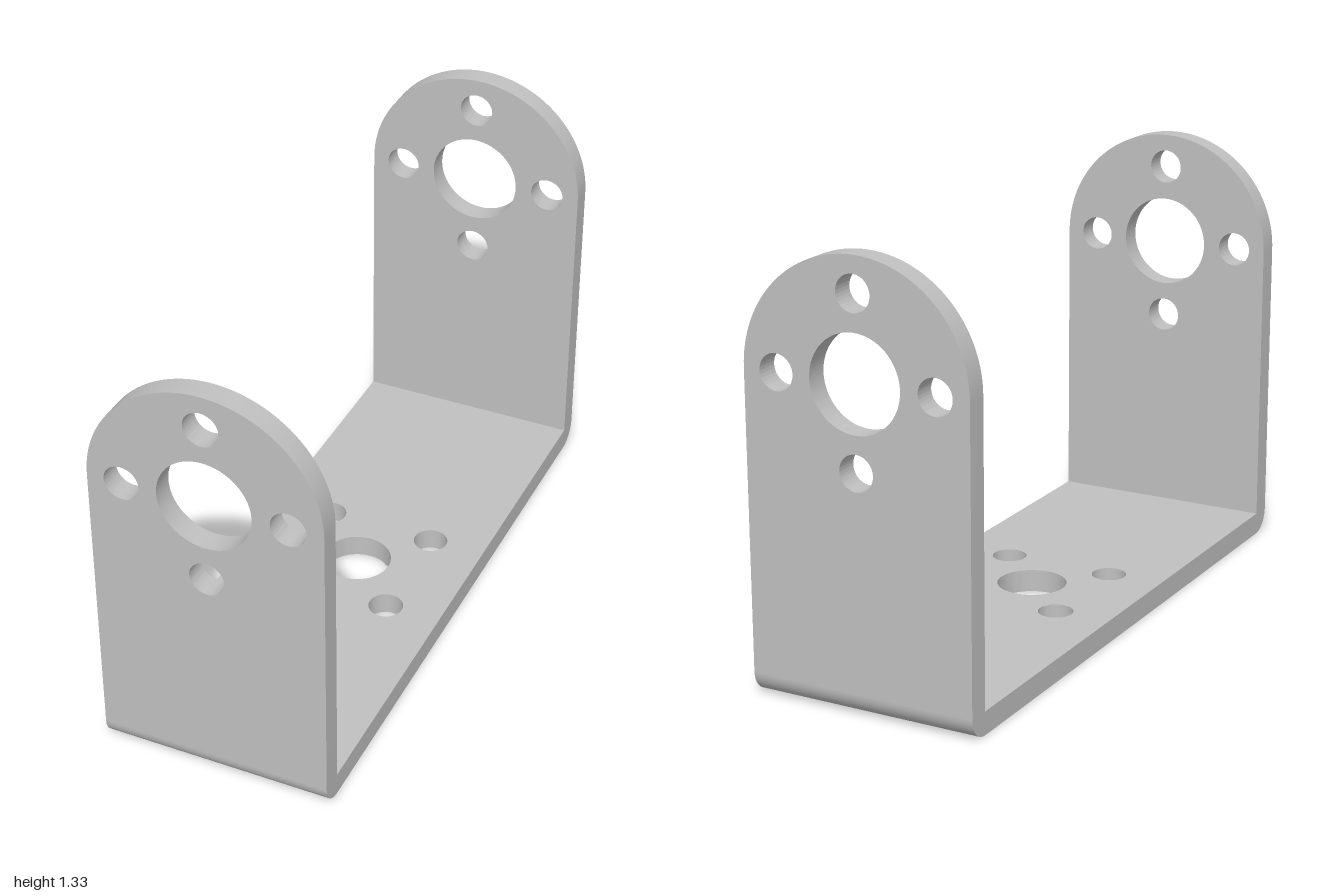
import * as THREE from 'three';
import { toCreasedNormals } from 'three/addons/utils/BufferGeometryUtils.js';

const HALF = 0.358;   // half width, also the radius of the rounded arm tops
const T = 0.071;      // sheet thickness
const INNER = 1 - T;  // inner face of each arm
const AXIS = 0.974;   // height of the large arm hole
const SMALL = 0.054;  // screw hole radius

function punch(shape, x, y, r) {
  const hole = new THREE.Path();
  hole.absarc(x, y, r, 0, Math.PI * 2, true);
  shape.holes.push(hole);
}

function sheet(shape) {
  const geo = new THREE.ExtrudeGeometry(shape, { depth: T, bevelEnabled: false, curveSegments: 32 });
  return toCreasedNormals(geo, 0.6);
}

export function createModel() {
  const model = new THREE.Group();
  model.name = 'bracket';
  const metal = new THREE.MeshStandardMaterial({ color: 0xc0c0c0 });
  metal.name = 'grey metal';

  const add = (geo, name, parent) => {
    const mesh = new THREE.Mesh(geo, metal);
    mesh.name = name;
    parent.add(mesh);
  };

  // Base plate with a centre hole and four screw holes
  const base = new THREE.Shape();
  base.moveTo(-HALF, -INNER);
  base.lineTo(HALF, -INNER);
  base.lineTo(HALF, INNER);
  base.lineTo(-HALF, INNER);
  base.closePath();
  punch(base, 0, 0, 0.108);
  for (const x of [-0.179, 0.179]) for (const y of [-0.179, 0.179]) punch(base, x, y, SMALL);
  add(sheet(base).rotateX(-Math.PI / 2), 'basePlate', model);

  // Upright arm with a round top, a bearing hole and four screw holes
  const arm = new THREE.Shape();
  arm.moveTo(-HALF, T);
  arm.lineTo(HALF, T);
  arm.lineTo(HALF, AXIS);
  arm.absarc(0, AXIS, HALF, 0, Math.PI, false);
  arm.closePath();
  punch(arm, 0, AXIS, 0.144);
  for (let i = 0; i < 4; i++) {
    const a = i * Math.PI / 2;
    punch(arm, 0.252 * Math.cos(a), AXIS + 0.252 * Math.sin(a), SMALL);
  }
  const armGeo = sheet(arm).translate(0, 0, INNER);

  // Quarter-round outer bend joining arm and base
  const bendGeo = new THREE.CylinderGeometry(T, T, HALF * 2, 16, 1, false, -Math.PI / 2, Math.PI / 2)
    .rotateZ(Math.PI / 2).translate(0, T, INNER);

  for (const [side, turn] of [['front', 0], ['back', Math.PI]]) {
    const group = new THREE.Group();
    group.name = side + 'Side';
    group.rotation.y = turn;
    add(armGeo, side + 'Arm', group);
    add(bendGeo, side + 'Bend', group);
    model.add(group);
  }
  return model;
}
